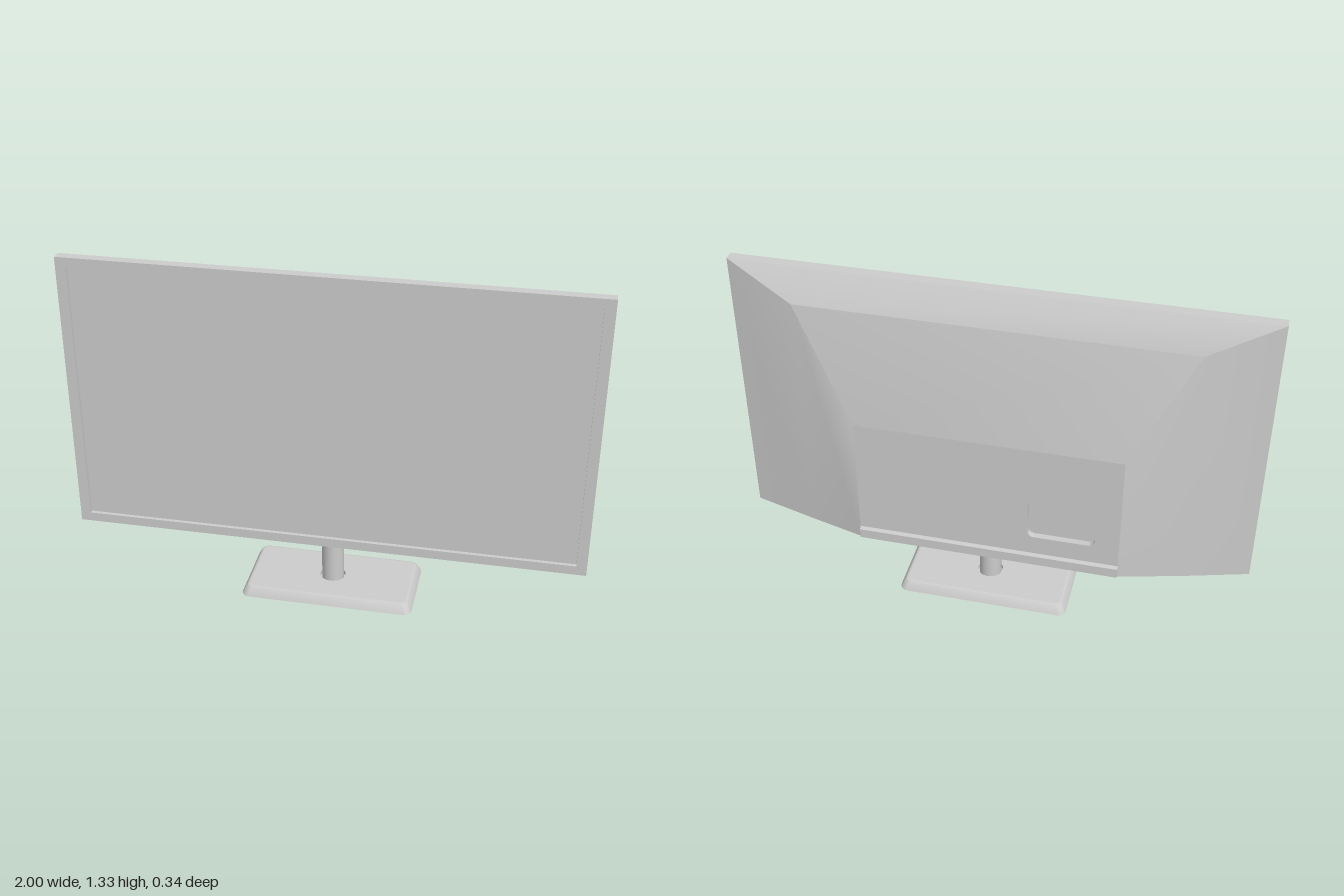
import * as THREE from 'three';
import { toCreasedNormals } from 'three/addons/utils/BufferGeometryUtils.js';

const grey = new THREE.MeshStandardMaterial({ color: 0xcccccc });

// Counter-clockwise rectangle outline; r > 0 rounds the corners.
function rect(x0, x1, y0, y1, r = 0) {
  const pts = [], n = r > 0 ? 8 : 0;
  const corners = [[x1 - r, y0 + r, -90], [x1 - r, y1 - r, 0], [x0 + r, y1 - r, 90], [x0 + r, y0 + r, 180]];
  for (const [cx, cy, start] of corners) {
    for (let i = 0; i <= n; i++) {
      const a = THREE.MathUtils.degToRad(start + (n ? (90 * i) / n : 0));
      pts.push(new THREE.Vector2(cx + r * Math.cos(a), cy + r * Math.sin(a)));
    }
  }
  return pts;
}

// Skin between outlines [points, z]; faces outward when z falls, inward when z rises.
function loft(sections) {
  const pos = [];
  const put = (s, i) => pos.push(s[0][i].x, s[0][i].y, s[1]);
  for (let k = 0; k + 1 < sections.length; k++) {
    const s = sections[k], t = sections[k + 1], n = s[0].length;
    for (let i = 0; i < n; i++) {
      const j = (i + 1) % n;
      put(s, i); put(t, i); put(s, j);
      put(s, j); put(t, i); put(t, j);
    }
  }
  const geo = new THREE.BufferGeometry();
  geo.setAttribute('position', new THREE.Float32BufferAttribute(pos, 3));
  return toCreasedNormals(geo, 0.45);
}

// Flat face towards +z at depth z, with optional hole.
function face(points, z, hole) {
  const shape = new THREE.Shape(points);
  if (hole) shape.holes.push(new THREE.Path(hole));
  return new THREE.ShapeGeometry(shape).translate(0, 0, z);
}

function add(parent, name, geo) {
  const mesh = new THREE.Mesh(geo, grey);
  mesh.name = name;
  parent.add(mesh);
  return mesh;
}

export function createModel() {
  const model = new THREE.Group();
  model.name = 'monitor';

  // Front bezel and recessed screen
  const bezel = new THREE.Group();
  bezel.name = 'bezel';
  model.add(bezel);
  const outer = rect(-1, 1, 0.203, 1.325);
  const opening = rect(-0.96, 0.96, 0.24, 1.29);
  add(bezel, 'bezelRim', loft([[outer, 0.06], [outer, 0.02]]));
  add(bezel, 'bezelFront', face(outer, 0.06, opening));
  add(bezel, 'bezelInnerEdge', loft([[opening, 0.045], [opening, 0.06]]));
  add(model, 'screen', face(opening, 0.045));

  // Tapered rear housing
  const housing = new THREE.Group();
  housing.name = 'rearHousing';
  model.add(housing);
  add(housing, 'housingShell', loft([
    [outer, 0.02],
    [rect(-0.74, 0.74, 0.203, 1.21), -0.053],
    [rect(-0.51, 0.51, 0.227, 0.77), -0.137],
  ]));

  // Flat back panel with a sunken connector bay
  const panel = rect(-0.51, 0.51, 0.227, 0.77);
  const bayMirrored = rect(0.158, 0.416, 0.36, 0.53, 0.025);
  const bay = rect(-0.416, -0.158, 0.36, 0.53, 0.025);
  add(housing, 'backPanel', face(panel, 0.137, bayMirrored).rotateY(Math.PI));
  add(housing, 'connectorBayWall', loft([[bay, -0.137], [bay, -0.112]]));
  add(housing, 'connectorBayFloor', face(bayMirrored, 0.112).rotateY(Math.PI));

  // Lip along the bottom of the back panel, profile in (-z, y)
  const lipProfile = new THREE.Shape([[0.13, 0.225], [0.147, 0.23], [0.147, 0.27], [0.137, 0.28], [0.13, 0.28]]
    .map(([x, y]) => new THREE.Vector2(x, y)));
  const lip = new THREE.ExtrudeGeometry(lipProfile, { depth: 1.02, bevelEnabled: false });
  add(housing, 'bottomLip', lip.translate(0, 0, -0.51).rotateY(Math.PI / 2));

  // Stand: post in a socket on a base with softened, sloping sides
  const stand = new THREE.Group();
  stand.name = 'stand';
  stand.position.x = 0.018;
  model.add(stand);
  const post = add(stand, 'post', new THREE.CylinderGeometry(0.043, 0.043, 0.22, 32));
  post.position.y = 0.12;

  const base = new THREE.Group();
  base.name = 'base';
  base.rotation.x = -Math.PI / 2;
  stand.add(base);
  const outline = (d) => rect(-0.337 + d, 0.337 - d, -0.168 + d, 0.168 - d, 0.034 - d * 0.4);
  const socket = rect(-0.05, 0.05, -0.05, 0.05, 0.05);
  add(base, 'baseSides', loft([
    [outline(0.027), 0.037], [outline(0.02), 0.035], [outline(0.015), 0.03],
    [outline(0.002), 0.005], [outline(0), 0],
  ]));
  add(base, 'baseTop', face(outline(0.027), 0.037, socket));
  add(base, 'socketWall', loft([[socket, 0.02], [socket, 0.037]]));
  add(base, 'socketFloor', face(socket, 0.02));
  add(base, 'baseUnderside', face(outline(0), 0).rotateY(Math.PI));

  return model;
}
